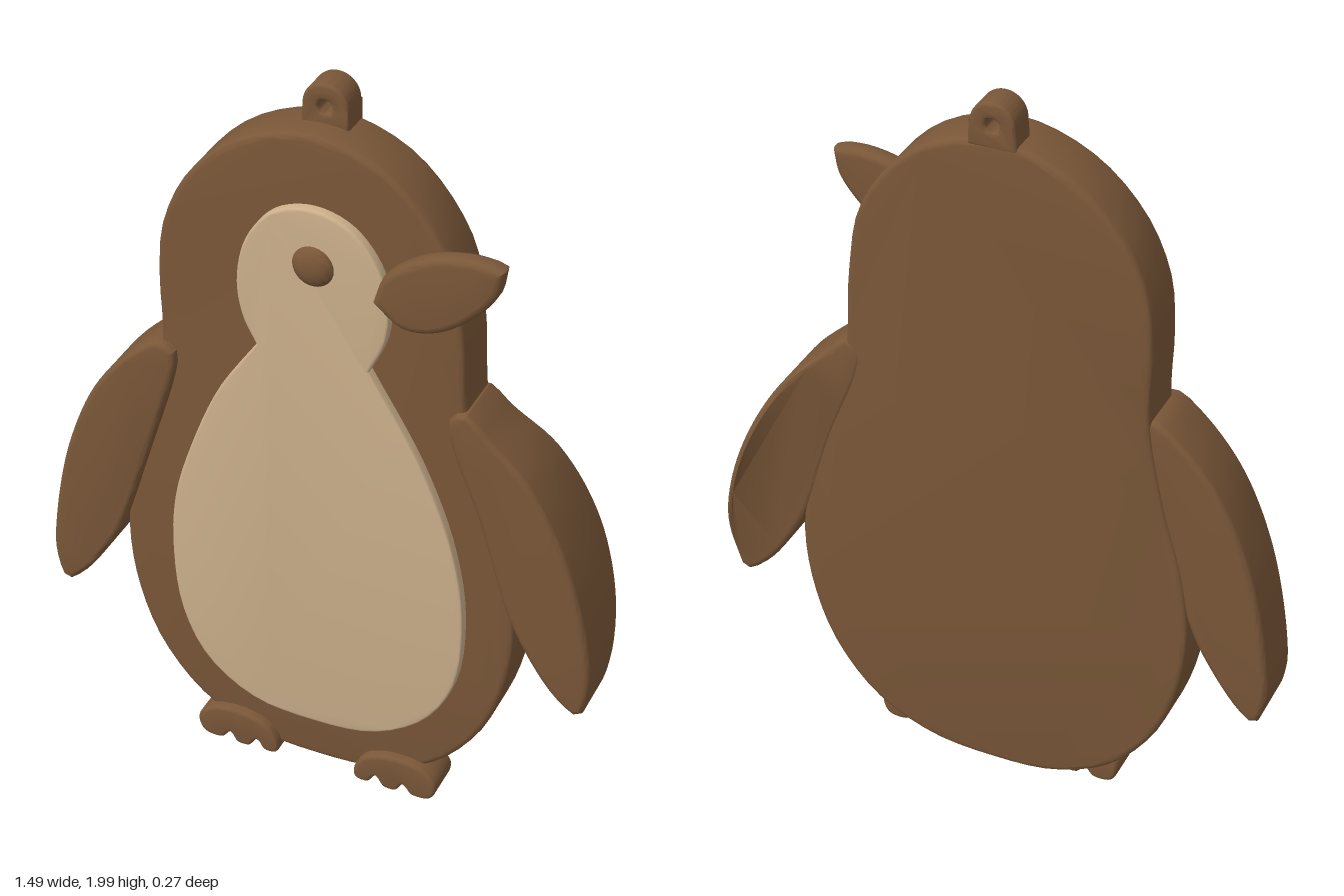
import * as THREE from 'three';
import { toCreasedNormals } from 'three/addons/utils/BufferGeometryUtils.js';

const brown = new THREE.MeshStandardMaterial({ color: 0x7a5738 });
brown.name = 'brown';
const tan = new THREE.MeshStandardMaterial({ color: 0xcdb08c });
tan.name = 'tan';

// Smooth curve samples through a few points
function smooth(points, closed = false, n = 48) {
  const curve = new THREE.CatmullRomCurve3(
    points.map(([x, y]) => new THREE.Vector3(x, y, 0)), closed, 'centripetal');
  const out = curve.getSpacedPoints(n).map(p => new THREE.Vector2(p.x, p.y));
  if (closed) out.pop();
  return out;
}

// Rounded plate from z = back to z = front that keeps its outline
function plate(shape, back, front, bevel, rise = bevel) {
  const geo = new THREE.ExtrudeGeometry(shape, {
    depth: front - back - 2 * rise, bevelEnabled: true, bevelSize: bevel,
    bevelThickness: rise, bevelOffset: -bevel, bevelSegments: 3, curveSegments: 16,
  });
  geo.translate(0, 0, back + rise);
  return geo;
}

export function createModel() {
  const model = new THREE.Group();
  model.name = 'penguinPendant';

  function add(name, geo, material = brown) {
    const mesh = new THREE.Mesh(toCreasedNormals(geo, 0.6), material);
    mesh.name = name;
    model.add(mesh);
    return mesh;
  }

  // Body slab
  const bodyOutline = smooth([
    [-0.01, 1.9], [-0.2, 1.845], [-0.335, 1.72], [-0.405, 1.57], [-0.42, 1.42], [-0.418, 1.23],
    [-0.46, 1.0], [-0.515, 0.8], [-0.537, 0.62], [-0.515, 0.43], [-0.45, 0.26], [-0.33, 0.12],
    [-0.17, 0.045], [0, 0.03], [0.17, 0.045], [0.33, 0.12], [0.45, 0.26], [0.515, 0.43],
    [0.537, 0.62], [0.51, 0.8], [0.45, 1.0], [0.395, 1.22], [0.38, 1.45], [0.34, 1.65],
    [0.19, 1.835],
  ], true, 96);
  add('body', plate(new THREE.Shape(bodyOutline), -0.065, 0.086, 0.015));

  // Raised face and belly panel, with a sharp waist at the neck
  const face = smooth([
    [0.15, 1.31], [0.19, 1.4], [0.2, 1.49], [0.175, 1.6], [0.1, 1.69], [0, 1.72],
    [-0.1, 1.69], [-0.17, 1.6], [-0.195, 1.48], [-0.18, 1.38], [-0.145, 1.31],
  ]);
  const belly = smooth([
    [-0.145, 1.31], [-0.25, 1.15], [-0.33, 0.96], [-0.38, 0.79], [-0.393, 0.62], [-0.37, 0.42],
    [-0.3, 0.28], [-0.17, 0.19], [0, 0.17], [0.17, 0.19], [0.31, 0.28], [0.39, 0.42],
    [0.41, 0.64], [0.375, 0.85], [0.29, 1.07], [0.15, 1.31],
  ], false, 64);
  const panel = new THREE.Shape([...face.slice(0, -1), ...belly.slice(0, -1)]);
  add('facePanel', plate(panel, 0.06, 0.112, 0.006), tan);

  // Wings
  const rightWing = new THREE.Shape(smooth([
    [-0.375, 1.215], [-0.42, 1.235], [-0.5, 1.18], [-0.605, 1.05], [-0.69, 0.85], [-0.742, 0.6],
    [-0.748, 0.48], [-0.72, 0.4], [-0.67, 0.435], [-0.575, 0.57], [-0.537, 0.65],
    [-0.465, 0.87], [-0.375, 1.17],
  ], true, 64));
  add('rightWing', plate(rightWing, -0.058, 0.108, 0.015));

  const leftWing = new THREE.Shape(smooth([
    [0.352, 1.22], [0.39, 1.25], [0.46, 1.19], [0.565, 1.085], [0.67, 0.885], [0.737, 0.63],
    [0.742, 0.5], [0.72, 0.43], [0.655, 0.47], [0.537, 0.65], [0.44, 0.945], [0.36, 1.155],
  ], true, 64));
  const leftGeo = plate(leftWing, -0.067, 0.102, 0.015);
  // Flare the outer back edge of the left wing
  const pos = leftGeo.attributes.position;
  for (let i = 0; i < pos.count; i++) {
    const x = pos.getX(i), y = pos.getY(i), z = pos.getZ(i);
    if (z > 0) continue;
    const along = THREE.MathUtils.clamp((1.25 - y) / 0.82, 0, 1);
    const inner = 0.355 + 0.34 * along;
    const outer = THREE.MathUtils.smoothstep(x - inner, 0.02, 0.14);
    pos.setZ(i, z - 0.072 * Math.sin(Math.PI * along) * outer);
  }
  add('leftWing', leftGeo);

  // Beak, turned to the side
  const beak = new THREE.Shape([
    ...smooth([[0.165, 1.52], [0.195, 1.6], [0.295, 1.672], [0.4, 1.697], [0.488, 1.692]], false, 16).slice(0, -1),
    ...smooth([[0.49, 1.685], [0.475, 1.615], [0.4, 1.525], [0.32, 1.475], [0.24, 1.467], [0.165, 1.52]], false, 20).slice(0, -1),
  ]);
  add('beak', plate(beak, 0.08, 0.134, 0.018));

  // Eye
  const eye = new THREE.SphereGeometry(0.055, 28, 16);
  eye.scale(1, 1, 0.5);
  add('eye', eye).position.set(0.007, 1.57, 0.106);

  // Feet, each with three rounded toes
  for (const side of [-1, 1]) {
    const at = ([x, y]) => [0.007 + side * x, y];
    const foot = new THREE.Shape(smooth([
      [0.34, 0.075], [0.3, 0.11], [0.21, 0.12], [0.14, 0.095], [0.11, 0.045], [0.115, 0.017],
      [0.15, 0.013], [0.172, 0.04], [0.195, 0.012], [0.23, 0.012], [0.25, 0.038],
      [0.275, 0.013], [0.325, 0.017], [0.342, 0.045],
    ].map(at), true, 72));
    add(side < 0 ? 'rightFoot' : 'leftFoot', plate(foot, -0.005, 0.112, 0.01));
  }

  // Hanging loop
  const loop = new THREE.Shape();
  loop.moveTo(0.055, 1.88);
  loop.lineTo(0.053, 1.945);
  loop.absarc(-0.007, 1.942, 0.058, 0, Math.PI, false);
  loop.lineTo(-0.07, 1.88);
  loop.closePath();
  const hole = new THREE.Path();
  hole.absarc(-0.007, 1.94, 0.018, 0, Math.PI * 2, true);
  loop.holes.push(hole);
  add('hangingLoop', plate(loop, -0.066, 0.016, 0.008));

  return model;
}
